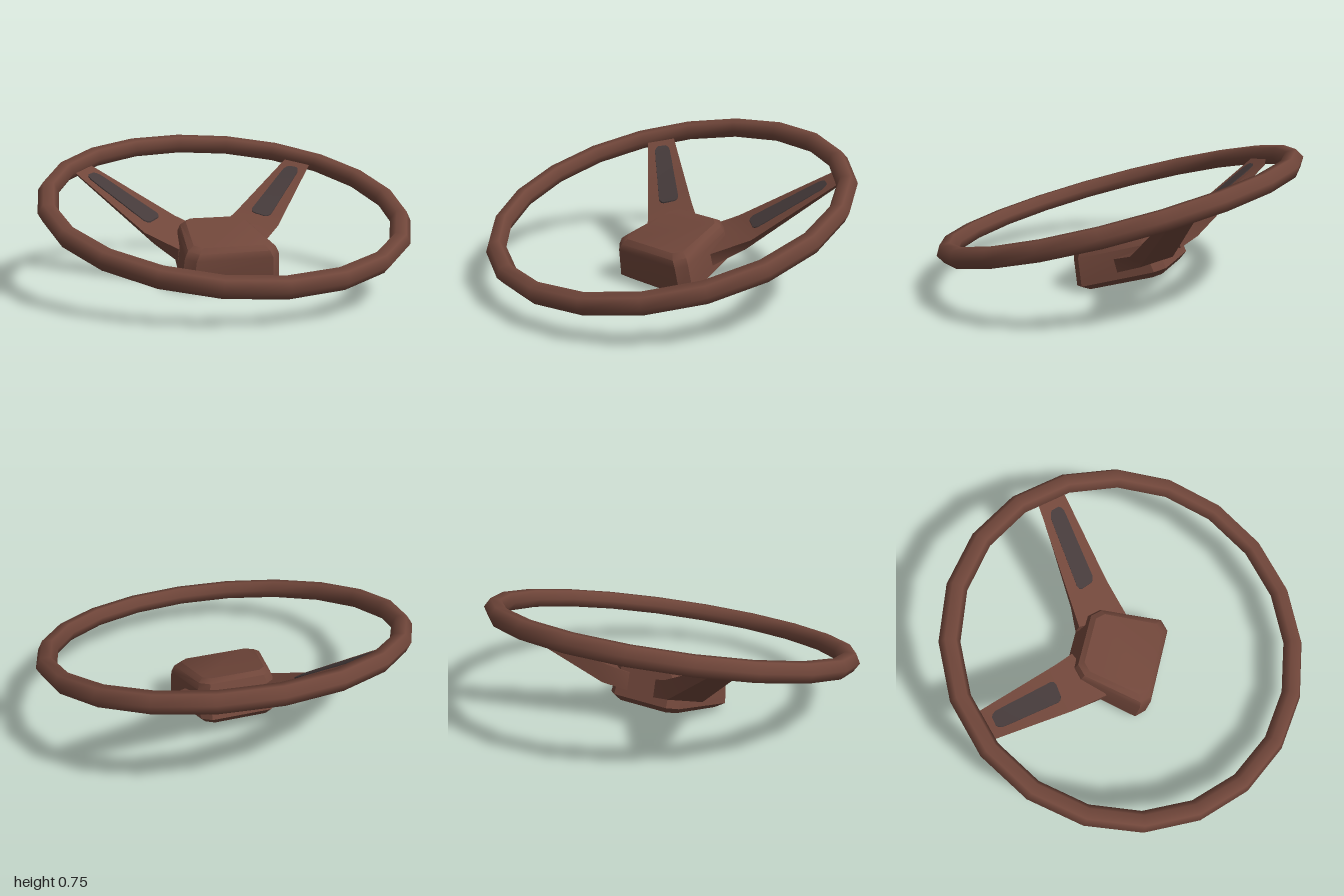
import * as THREE from 'three';
import { toCreasedNormals } from 'three/addons/utils/BufferGeometryUtils.js';

const V = (x, y, z) => new THREE.Vector3(x, y, z);

// Skin a closed solid over loops of points (counter-clockwise seen from the last loop)
function loft(loops, crease) {
  const n = loops[0].length, pos = [], idx = [];
  loops.flat().forEach(p => pos.push(p.x, p.y, p.z));
  for (let k = 0; k < loops.length - 1; k++) {
    for (let i = 0; i < n; i++) {
      const a = k * n + i, b = k * n + (i + 1) % n;
      idx.push(a, b, b + n, a, b + n, a + n);
    }
  }
  const last = (loops.length - 1) * n;
  for (let i = 1; i < n - 1; i++) {
    idx.push(0, i + 1, i, last, last + i, last + i + 1);
  }
  const g = new THREE.BufferGeometry();
  g.setAttribute('position', new THREE.Float32BufferAttribute(pos, 3));
  g.setIndex(idx);
  return toCreasedNormals(g, crease);
}

// Mirror loops across x, keeping the faces outward
const mirrored = loops => loops.map(l => l.map(p => V(-p.x, p.y, p.z)).reverse());

export function createModel() {
  const brown = new THREE.MeshStandardMaterial({ color: 0x70463a });
  brown.name = 'brown';
  const charcoal = new THREE.MeshStandardMaterial({ color: 0x453a3a });
  charcoal.name = 'charcoal';

  const model = new THREE.Group();
  model.name = 'steeringWheel';
  const add = (parent, name, geometry, material) => {
    const mesh = new THREE.Mesh(geometry, material);
    mesh.name = name;
    parent.add(mesh);
  };

  // Rim and hub share the tilt of the wheel
  const tilted = new THREE.Group();
  tilted.name = 'tiltedWheel';
  tilted.position.y = 0.44;
  tilted.rotation.x = THREE.MathUtils.degToRad(16);
  model.add(tilted);

  const rim = new THREE.TorusGeometry(0.945, 0.055, 6, 20);
  rim.rotateX(Math.PI / 2);
  add(tilted, 'rim', rim, brown);

  // Hub layers: height, back z, front z, half width at back and front, corner cut
  const hub = [
    [-0.392, -0.20, 0.225, 0.18, 0.225, 0.04],
    [-0.36, -0.24, 0.255, 0.21, 0.275, 0.05],
    [-0.21, -0.213, 0.238, 0.205, 0.262, 0.05],
    [-0.175, -0.207, 0.225, 0.195, 0.245, 0.05],
    [-0.153, -0.18, 0.195, 0.17, 0.21, 0.04],
  ].map(([y, z0, z1, wb, wf, c]) => [
    V(c - wf, y, z1), V(wf - c, y, z1), V(wf, y, z1 - c), V(wb, y, z0 + c),
    V(wb - c, y, z0), V(c - wb, y, z0), V(-wb, y, z0 + c), V(-wf, y, z1 - c),
  ]);
  add(tilted, 'hub', loft(hub, 0.6), brown);

  // Spoke sections: top front, bottom front, bottom back, top back
  const root = [V(0.24, 0.20, -0.07), V(0.24, 0.13, -0.09), V(0.08, 0.20, -0.325), V(0.08, 0.29, -0.30)];
  const bend = [V(0.39, 0.275, -0.22), V(0.33, 0.205, -0.25), V(0.20, 0.24, -0.38), V(0.18, 0.34, -0.365)];
  const tip = [V(0.715, 0.59, -0.535), V(0.69, 0.56, -0.545), V(0.60, 0.575, -0.635), V(0.595, 0.61, -0.64)];
  const at = t => bend.map((p, i) => p.clone().lerp(tip[i], t));
  const spoke = [root, ...[0, 0.2, 0.4, 0.6, 0.8, 1].map(at)];

  // Inlay strip along the top of the spoke, with rounded ends
  const inlay = [[0.07, 0.13], [0.085, 0.19], [0.12, 0.23], [0.3, 0.235], [0.5, 0.24],
    [0.7, 0.25], [0.83, 0.25], [0.87, 0.2], [0.89, 0.13]].map(([t, w]) => {
    const [front, , , back] = at(t);
    const point = (s, lift) => front.clone().lerp(back, s).add(V(0, lift, 0));
    return [point(0.5 - w, 0.006), point(0.5 - w, -0.002), point(0.5 + w, -0.002), point(0.5 + w, 0.006)];
  });

  for (const [side, place] of [['left', l => l], ['right', mirrored]]) {
    add(model, side + 'Spoke', loft(place(spoke), 0.7), brown);
    add(model, side + 'SpokeInlay', loft(place(inlay), 0.7), charcoal);
  }
  return model;
}
